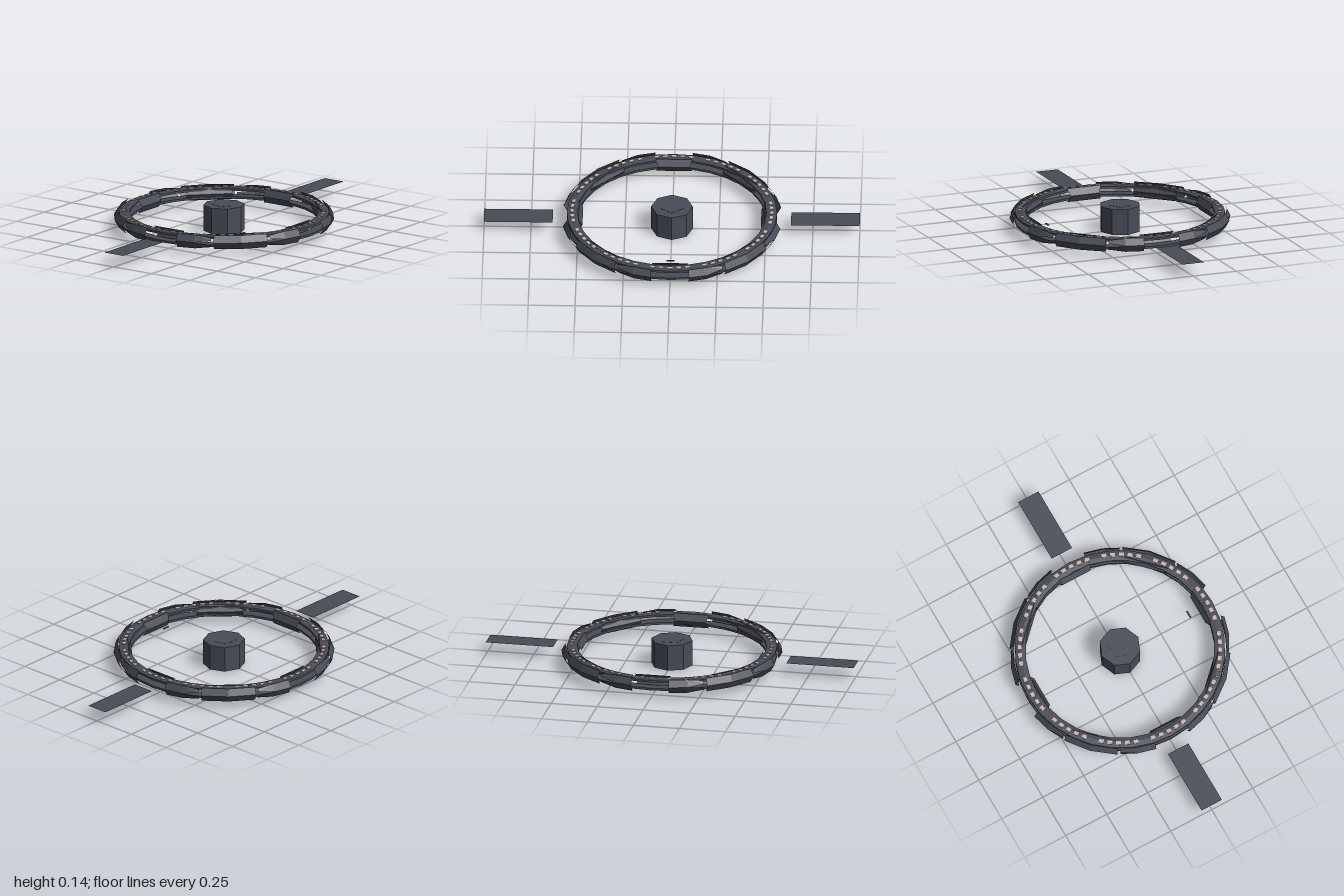
import * as THREE from 'three';

const MID = 0.0725; // height of the ring's mid plane
const rad = THREE.MathUtils.degToRad;

// Faceted strip through rows of [angle in degrees, radius, height offset] cross-sections
function strip(rows) {
  const pts = rows.map(row => row.map(([a, r, h]) =>
    [r * Math.sin(rad(a)), MID + h, r * Math.cos(rad(a))]));
  const pos = [];
  for (let i = 0; i < pts.length - 1; i++) {
    for (let j = 0; j < pts[i].length - 1; j++) {
      const a = pts[i][j], b = pts[i + 1][j], c = pts[i + 1][j + 1], d = pts[i][j + 1];
      pos.push(...a, ...b, ...c, ...a, ...c, ...d);
    }
  }
  const g = new THREE.BufferGeometry();
  g.setAttribute('position', new THREE.Float32BufferAttribute(pos, 3));
  g.computeVertexNormals();
  return g;
}

export function createModel() {
  const group = new THREE.Group();
  const hull = new THREE.MeshStandardMaterial({ color: 0x474c56, flatShading: true, side: THREE.DoubleSide });
  hull.name = 'slate hull';
  const light = new THREE.MeshStandardMaterial({ color: 0xcdb6b0, flatShading: true, side: THREE.DoubleSide });
  light.name = 'pale pink lights';

  const add = (name, geo, mat = hull, parent = group) => {
    const m = new THREE.Mesh(geo, mat);
    m.name = name;
    parent.add(m);
    return m;
  };

  // Central hub with a flush cap
  add('hub', new THREE.CylinderGeometry(0.111, 0.111, 0.14, 8)).position.y = 0.07;
  add('hubCap', new THREE.CylinderGeometry(0.065, 0.065, 0.002, 5)).position.y = 0.14;

  // Flat wings on both sides
  for (const s of [1, -1]) {
    const wing = add(s > 0 ? 'leftWing' : 'rightWing', new THREE.PlaneGeometry(0.366, 0.124));
    wing.rotation.x = -Math.PI / 2;
    wing.position.set(s * 0.817, 0.07, 0);
  }

  // Upper and lower rails of the ring
  for (const s of [1, -1]) {
    const profile = [[0.503, 0.016], [0.503, 0.028], [0.53, 0.032], [0.56, 0.028], [0.56, 0.016], [0.503, 0.016]];
    const rows = [];
    for (let i = 0; i <= 32; i++) rows.push(profile.map(([r, h]) => [i * 11.25, r, s * h]));
    add(s > 0 ? 'upperRail' : 'lowerRail', strip(rows));
  }

  // V-shaped panels, repeated in every quadrant
  const vee = (angles, rEdge, rTip, h) => strip(angles.map(a => [[a, rEdge, h], [a, rTip, 0], [a, rEdge, -h]]));
  for (let q = 0; q < 4; q++) {
    const quadrant = new THREE.Group();
    quadrant.name = 'ringQuadrant' + (q + 1);
    quadrant.rotation.y = q * Math.PI / 2;
    group.add(quadrant);

    // Full outer panel on the diagonal
    add('outerPanel', vee([30.5, 45, 59.5], 0.567, 0.588, 0.037), hull, quadrant);

    // Outer panels beside it, split open towards the diagonal
    for (const mirror of [false, true]) {
      const at = a => mirror ? 90 - a : a;
      for (const s of [1, -1]) {
        add('splitOuterPanel', strip([
          [[at(10), 0.567, s * 0.037], [at(10), 0.588, 0]],
          [[at(20), 0.567, s * 0.037], [at(20), 0.588, 0]],
          [[at(29), 0.567, s * 0.026], [at(29), 0.58, s * 0.011]],
        ]), hull, quadrant);
      }
    }

    // Inner panels on the axis and on the diagonal
    add('innerPanel', strip([-1, 1].map(s =>
      [[s * 11, 0.505, 0.037], [s * 10, 0.482, 0], [s * 11, 0.505, -0.037]])), hull, quadrant);
    add('innerDiagonalPanel', vee([31, 59], 0.525, 0.505, 0.035), hull, quadrant);
  }

  // Row of small lights on the upper rail
  const lamp = new THREE.BoxGeometry(0.026, 0.004, 0.02);
  for (let i = 0; i < 72; i++) {
    if (i % 6 === 5) continue;
    const a = rad(i * 5 - 10);
    const m = add('ringLight', lamp, light);
    m.position.set(0.533 * Math.sin(a), MID + 0.033, 0.533 * Math.cos(a));
    m.rotation.y = a;
  }

  // Small loose plates: one inside the ring, two above it
  add('innerPlate', new THREE.BoxGeometry(0.042, 0.004, 0.009)).position.set(0, 0.075, 0.42);
  for (const d of [-0.013, 0.013]) {
    add('raisedPlate', new THREE.BoxGeometry(0.012, 0.003, 0.012), light).position.set(-0.38 + d, 0.118, 0.383 + d);
  }
  return group;
}
